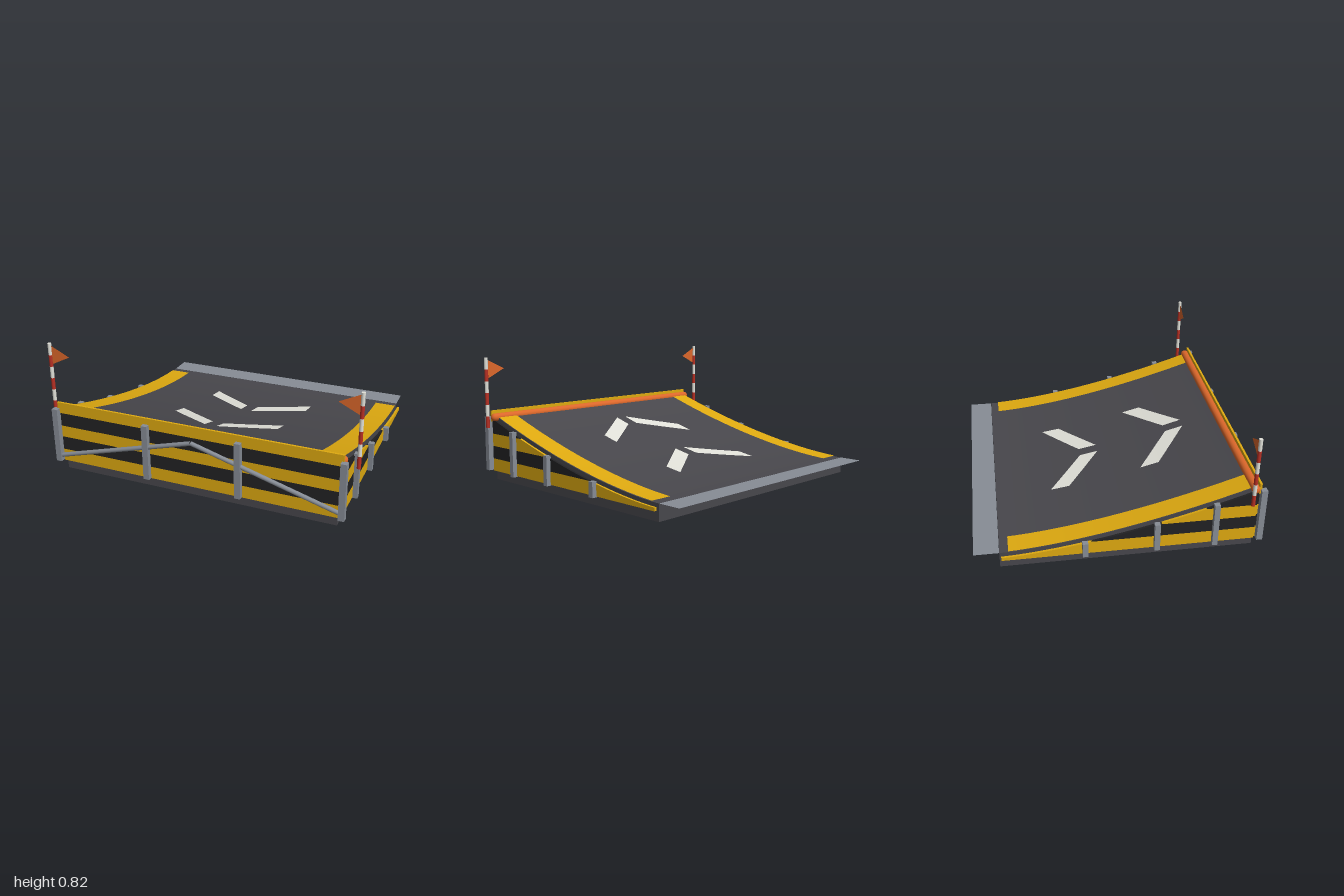
import * as THREE from 'three';

const mat = (name, color, side = THREE.FrontSide) => {
  const m = new THREE.MeshStandardMaterial({ color, side });
  m.name = name;
  return m;
};

const BACK = -0.718, FRONT = 0.822;
// height of the curved deck at depth z
const deckY = (z) => 0.103 + 0.327 * Math.pow(Math.max(0, (z - BACK) / (FRONT - BACK)), 1.6);

export function createModel() {
  const root = new THREE.Group();
  root.name = 'ramp';
  const deckGrey = mat('deckGrey', 0x48474c);
  const black = mat('black', 0x222224);
  const yellow = mat('yellow', 0xdfaa10);
  const steel = mat('steel', 0x878d96, THREE.DoubleSide);
  const white = mat('white', 0xe2e2da);
  const red = mat('red', 0xb93024);
  const orange = mat('orange', 0xdd682b, THREE.DoubleSide);

  const add = (name, geo, material, x = 0, y = 0, z = 0, parent = root) => {
    const m = new THREE.Mesh(geo, material);
    m.name = name;
    m.position.set(x, y, z);
    parent.add(m);
    return m;
  };
  const box = (name, w, h, d, material, x, y, z) =>
    add(name, new THREE.BoxGeometry(w, h, d), material, x, y, z);

  // side outline between two heights, cut off by the deck curve, extruded across x
  const sideSlab = (z0, z1, y0, y1, drop, width) => {
    const pts = [], n = 40;
    for (let i = 0; i <= n; i++) {
      const z = z0 + ((z1 - z0) * i) / n;
      const y = Math.min(y1, deckY(z) - drop);
      if (y > y0) pts.push(new THREE.Vector2(-z, y));
    }
    const shape = new THREE.Shape([
      ...pts,
      new THREE.Vector2(pts[pts.length - 1].x, y0),
      new THREE.Vector2(pts[0].x, y0),
    ]);
    const g = new THREE.ExtrudeGeometry(shape, { depth: width, bevelEnabled: false });
    return g.rotateY(Math.PI / 2).translate(-width / 2, 0, 0);
  };

  // thin marking lying on the deck, optionally sheared towards the centre line
  const marking = (x0, x1, z0, z1, shear = 0) => {
    const g = new THREE.PlaneGeometry(1, 1, 10, 32).rotateX(-Math.PI / 2);
    const p = g.attributes.position;
    for (let i = 0; i < p.count; i++) {
      const x = x0 + (x1 - x0) * (p.getX(i) + 0.5);
      const z = z0 + (z1 - z0) * (p.getZ(i) + 0.5) - shear * Math.abs(x);
      p.setXYZ(i, x, deckY(z) + 0.005, z);
    }
    g.computeVertexNormals();
    return g;
  };

  // solid body and the flat approach plate behind it
  add('body', sideSlab(BACK, FRONT, 0, 1, 0, 1.79), deckGrey);
  const plate = new THREE.PlaneGeometry(1.79, 0.152).rotateX(-Math.PI / 2);
  add('approachPlate', plate, steel, 0, 0.103, -0.795);

  // deck markings
  for (const s of [-1, 1]) {
    const span = (a, b) => (s > 0 ? [a, b] : [-b, -a]);
    add('edgeStripe', marking(...span(0.755, 0.895), -0.665, 0.785), yellow);
    for (const z of [-0.107, 0.479])
      add('chevronArm', marking(...span(0.038, 0.357), z, z + 0.12, 0.718), white);
  }

  // striped side panels with posts
  const levels = [0.062, 0.145, 0.229, 0.312, 0.425];
  for (const s of [-1, 1]) {
    for (let i = 0; i < 4; i++)
      add('sidePanelBand', sideSlab(-0.708, FRONT, levels[i], levels[i + 1], 0.02, 0.015),
        i % 2 ? black : yellow, s * 0.912);
    for (const [z, top] of [[0.574, 0.35], [0.219, 0.245], [-0.212, 0.152]])
      box('sidePost', 0.034, top - 0.057, 0.034, steel, s * 0.932, (top + 0.057) / 2, z);
  }

  // striped front boards
  const boards = [0.062, 0.142, 0.23, 0.306, 0.393, 0.465];
  for (let i = 0; i < 5; i++) {
    const h = boards[i + 1] - boards[i];
    box('frontBoard', i === 4 ? 1.845 : 1.81, h, 0.014, i % 2 ? black : yellow,
      0, boards[i] + h / 2, 0.833);
  }

  // front posts and peaked brace
  for (const x of [-0.928, -0.3, 0.3, 0.928])
    box('frontPost', 0.038, 0.36, 0.037, steel, x, 0.245, 0.8525);
  for (const s of [-1, 1]) {
    const path = new THREE.LineCurve3(
      new THREE.Vector3(s * 0.92, 0.1, 0.851), new THREE.Vector3(0, 0.362, 0.851));
    add('frontBrace', new THREE.TubeGeometry(path, 1, 0.014, 10), steel);
  }

  // rounded bar along the top edge
  const bar = new THREE.CapsuleGeometry(0.027, 1.815, 6, 16).rotateZ(Math.PI / 2);
  add('topBar', bar, orange, 0, 0.42, 0.808);

  // banded flag poles with pennants pointing inwards
  for (const s of [-1, 1]) {
    const pole = new THREE.Group();
    pole.name = 'flagPole';
    pole.position.set(s * 0.988, 0.363, 0.77);
    root.add(pole);
    const h = 0.0765;
    for (let i = 0; i < 6; i++)
      add('poleBand', new THREE.CylinderGeometry(0.012, 0.012, h, 12),
        i % 2 ? white : red, 0, h * (i + 0.5), 0, pole);
    const flag = new THREE.Shape([
      new THREE.Vector2(-s * 0.01, 0.322),
      new THREE.Vector2(-s * 0.135, 0.383),
      new THREE.Vector2(-s * 0.01, 0.444),
    ]);
    add('flag', new THREE.ShapeGeometry(flag), orange, 0, 0, 0, pole);
  }
  return root;
}
